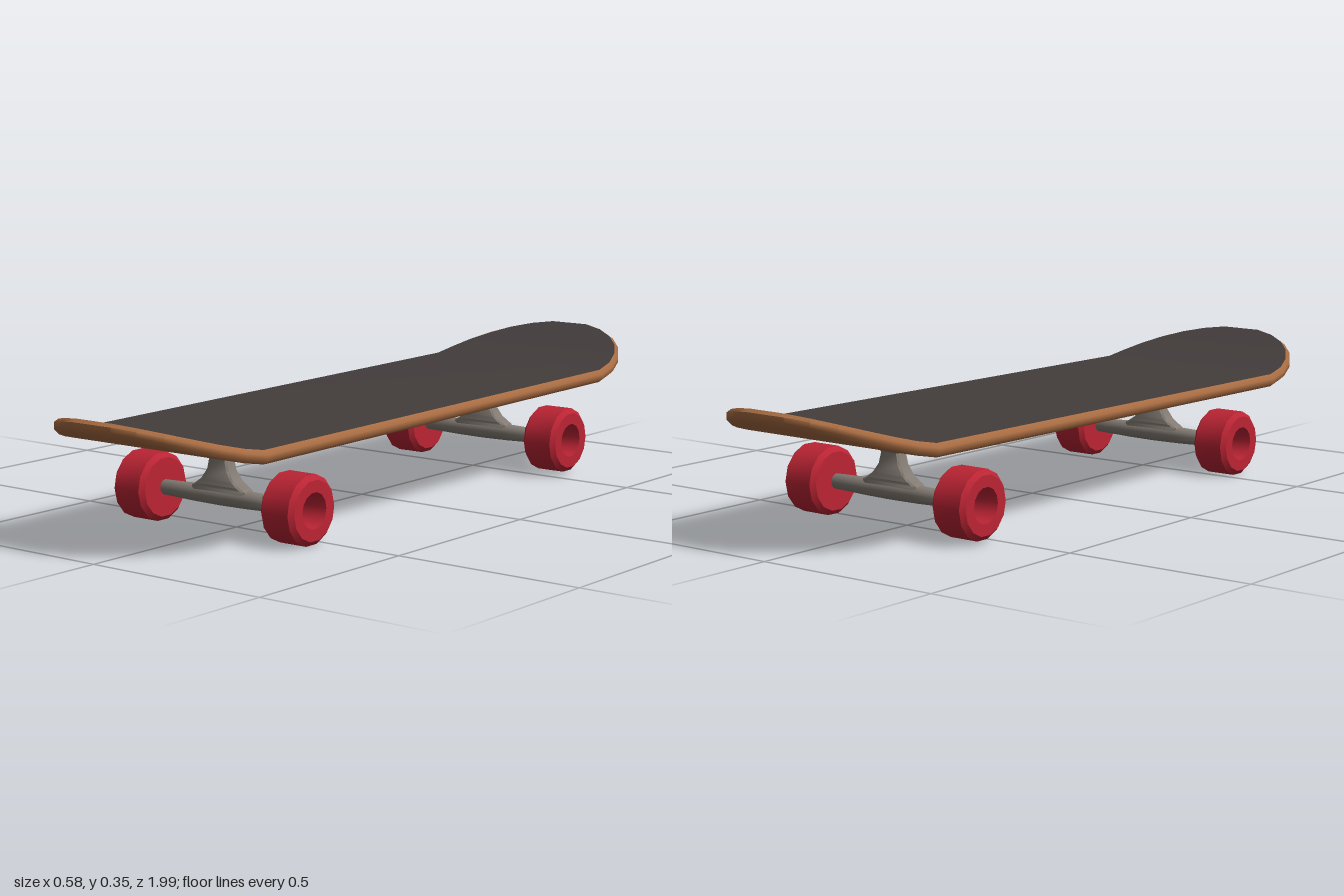
import * as THREE from 'three';
import { toCreasedNormals } from 'three/addons/utils/BufferGeometryUtils.js';

const material = (name, color) => new THREE.MeshStandardMaterial({ name, color });

// Joins mirrored rings, listed bottom to top, with optional end caps.
// Each ring holds its right half, then its left half in reverse.
function loft(rings, { top = false, bottom = false, crease = 1 } = {}) {
  const n = rings[0].length;
  const index = [];
  for (let r = 0; r < rings.length - 1; r++) {
    for (let i = 0; i < n; i++) {
      const a = r * n + i, b = r * n + (i + 1) % n;
      index.push(a, a + n, b, a + n, b + n, b);
    }
  }
  const cap = (base, up) => {
    for (let i = 0; i < n / 2 - 1; i++) {
      const right = base + i, left = base + n - 1 - i;
      const tris = [[left, left - 1, right], [right, left - 1, right + 1]];
      for (const t of tris) index.push(...(up ? t : t.reverse()));
    }
  };
  if (bottom) cap(0, false);
  if (top) cap((rings.length - 1) * n, true);
  const geometry = new THREE.BufferGeometry();
  geometry.setAttribute('position', new THREE.Float32BufferAttribute(rings.flat(2), 3));
  geometry.setIndex(index);
  geometry.computeVertexNormals();
  return toCreasedNormals(geometry, crease);
}

const mirrorRing = right => [...right, ...right.map(([x, y, z]) => [-x, y, z]).reverse()];

// Board outline, drawn in by an inset and bent up at both ends
const DECK_RADIUS = 0.286, ARC_CENTRE = 0.714;
function deckRing(inset, y) {
  const r = DECK_RADIUS - inset;
  const half = [12, 25, 38, 51, 64, 77, 90].map(deg => {
    const a = THREE.MathUtils.degToRad(deg);
    const z = ARC_CENTRE + r * Math.cos(a);
    const kick = 0.086 * Math.pow(Math.max(0, (z - 0.7) / 0.3), 1.35);
    return [r * Math.sin(a), y + kick, z];
  });
  return mirrorRing([...half.map(([x, h, z]) => [x, h, -z]), ...half.slice().reverse()]);
}

function neckRing([y, hx, hz]) {
  return mirrorRing([
    [hx * 0.88, y, -hz], [hx, y, -hz * 0.75], [hx, y, hz * 0.75], [hx * 0.88, y, hz],
  ]);
}

const lathe = (points, segments) =>
  new THREE.LatheGeometry(points.map(p => new THREE.Vector2(...p)), segments);

export function createModel() {
  const wood = material('wood', 0xa86c42);
  const grip = material('grip', 0x433d3c);
  const metal = material('metal', 0x857d75);
  const rubber = material('rubber', 0xbc2434);

  const model = new THREE.Group();
  model.name = 'skateboard';
  const board = new THREE.Group();
  board.name = 'board';
  board.rotation.set(0.008, 0, 0.004);
  model.add(board);

  const add = (parent, name, geometry, mat) => {
    const mesh = new THREE.Mesh(geometry, mat);
    mesh.name = name;
    parent.add(mesh);
    return mesh;
  };

  // Deck with rounded rim, and the grip sheet on top
  const base = 0.228;
  const rim = [[0.012, 0], [0, 0.01], [0, 0.023], [0.011, 0.034]];
  add(board, 'deck', loft(rim.map(([i, y]) => deckRing(i, base + y)), { bottom: true }), wood);
  add(board, 'gripSheet', loft([deckRing(0.011, base + 0.034)], { top: true }), grip);

  // Truck: flared neck over a tapered axle
  const neck = loft([
    [0, 0.09, 0.018], [0.022, 0.085, 0.02], [0.029, 0.072, 0.021], [0.042, 0.053, 0.021],
    [0.066, 0.035, 0.019], [0.096, 0.027, 0.018], [0.138, 0.068, 0.042],
  ].map(neckRing), { top: true, bottom: true, crease: 0.9 });
  const axle = lathe([
    [0, -0.2], [0.019, -0.2], [0.023, -0.08], [0.024, 0], [0.023, 0.08], [0.019, 0.2], [0, 0.2],
  ], 12).rotateZ(-Math.PI / 2);

  // Wheel: bevelled tyre with a deep recess and a metal hub at its floor
  const wheel = toCreasedNormals(lathe([
    [0, -0.051], [0.075, -0.051], [0.087, -0.04], [0.087, 0.04], [0.075, 0.051],
    [0.045, 0.051], [0.042, -0.033],
  ], 14), 0.6).rotateZ(-Math.PI / 2);
  const hub = new THREE.CircleGeometry(0.043, 14).rotateY(Math.PI / 2).translate(-0.032, 0, 0);

  for (const [end, z] of [['front', 0.55], ['back', -0.55]]) {
    const truck = new THREE.Group();
    truck.name = `${end}Truck`;
    truck.position.set(0, 0.0925, z);
    board.add(truck);
    add(truck, 'neck', neck, metal);
    add(truck, 'axle', axle, metal);
    for (const [side, s] of [['left', 1], ['right', -1]]) {
      const assembly = new THREE.Group();
      assembly.name = `${side}Wheel`;
      assembly.position.x = s * 0.238;
      if (s < 0) assembly.rotation.y = Math.PI;
      add(assembly, 'tyre', wheel, rubber);
      add(assembly, 'hub', hub, metal);
      truck.add(assembly);
    }
  }
  return model;
}
